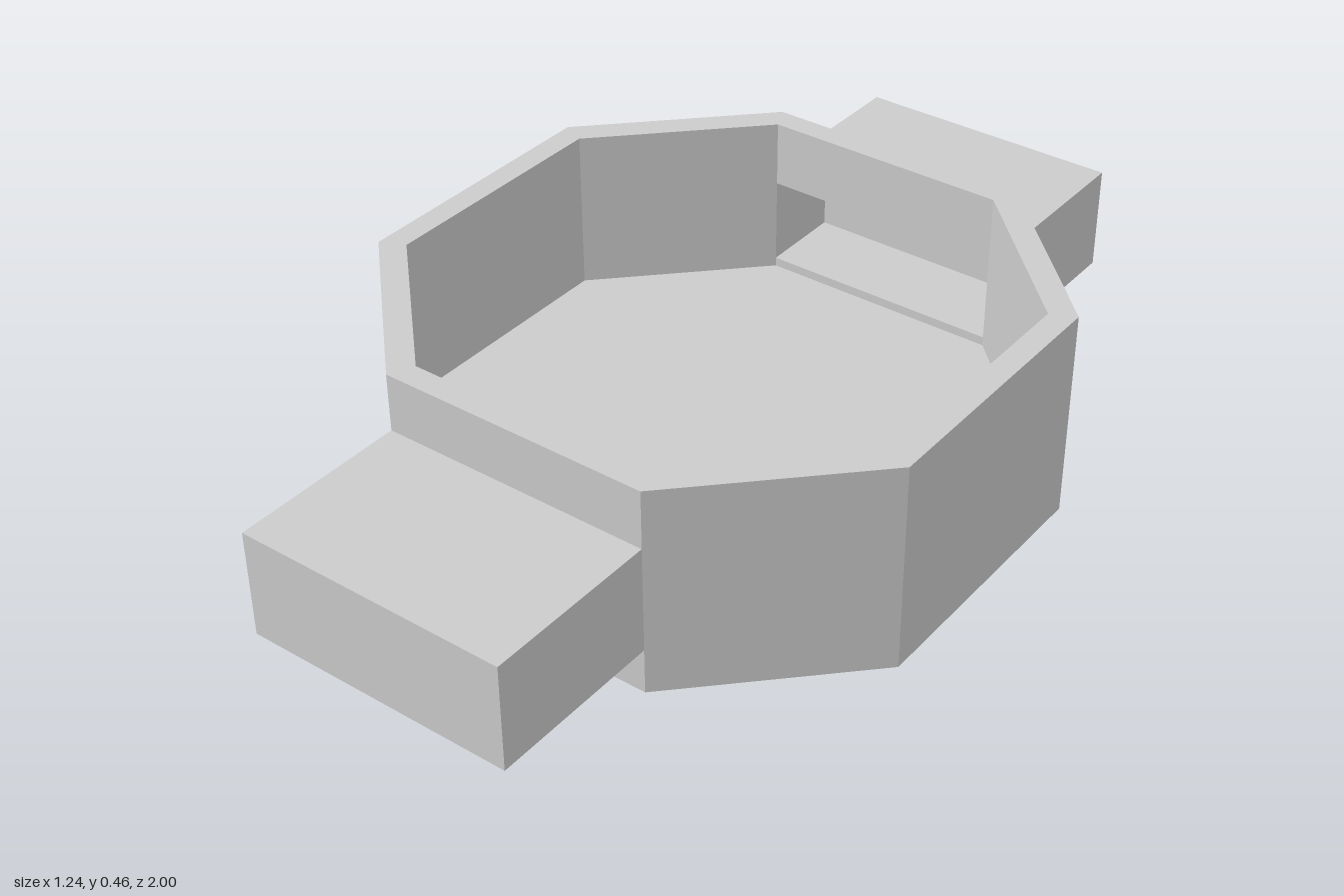
import * as THREE from 'three';

const material = new THREE.MeshStandardMaterial({ color: 0xcccccc, flatShading: true, side: THREE.DoubleSide });

// Flat-shaded mesh from convex polygons, corners counter-clockwise from outside
function facesMesh(name, faces) {
  const pos = [];
  for (const f of faces)
    for (let i = 1; i < f.length - 1; i++) pos.push(...f[0], ...f[i], ...f[i + 1]);
  const geometry = new THREE.BufferGeometry();
  geometry.setAttribute('position', new THREE.Float32BufferAttribute(pos, 3));
  geometry.computeVertexNormals();
  const mesh = new THREE.Mesh(geometry, material);
  mesh.name = name;
  return mesh;
}

// Octagon loop: a = distance to the sides, h = half length of the straight sides
const octagon = (a, h, y) =>
  [[-h, a], [h, a], [a, h], [a, -h], [h, -a], [-h, -a], [-a, -h], [-a, h]].map(([x, z]) => [x, y, z]);

// Upright rectangle loop, seen from +z
const rect = (x, y0, y1, z) => [[-x, y0, z], [x, y0, z], [x, y1, z], [-x, y1, z]];

// Quad between two loops at side i
const strip = (A, B, i) => {
  const j = (i + 1) % A.length;
  return [A[i], A[j], B[j], B[i]];
};

const OUT = [0.622, 0.293], INN = [0.57, 0.268];
const TOP = 0.455, FLOOR = 0.1;
const ARM = [0.1, 0.33], SLOT = [0.12, 0.31];

export function createModel() {
  const group = new THREE.Group();

  // Octagonal tray: outer wall, rim, inner wall, floor and underside
  const outer = (y) => octagon(...OUT, y);
  const inner = (y) => octagon(...INN, y);
  const body = [inner(FLOOR), outer(0).reverse()];
  for (let i = 0; i < 8; i++) {
    body.push(strip(outer(TOP), inner(TOP), i));
    if (i % 4 === 0) {
      // front and back walls are open where the arms join
      body.push(strip(outer(0), outer(ARM[0]), i), strip(outer(ARM[1]), outer(TOP), i));
      body.push(strip(inner(TOP), inner(SLOT[1]), i), strip(inner(SLOT[0]), inner(FLOOR), i));
    } else {
      body.push(strip(outer(0), outer(TOP), i), strip(inner(TOP), inner(FLOOR), i));
    }
  }
  group.add(facesMesh('tray', body));

  // Arms: block outside, shallow slot opening into the tray
  for (const [name, turn] of [['frontArm', 0], ['backArm', Math.PI]]) {
    const root = rect(OUT[1], ...ARM, OUT[0]), tip = rect(OUT[1], ...ARM, 1);
    const mouth = rect(INN[1], ...SLOT, INN[0]), end = rect(INN[1], ...SLOT, 0.76);
    const faces = [tip, [...end].reverse()];
    for (let i = 0; i < 4; i++) faces.push(strip(root, tip, i), strip(mouth, end, i).reverse());
    const arm = facesMesh(name, faces);
    arm.rotation.y = turn;
    group.add(arm);
  }
  return group;
}
